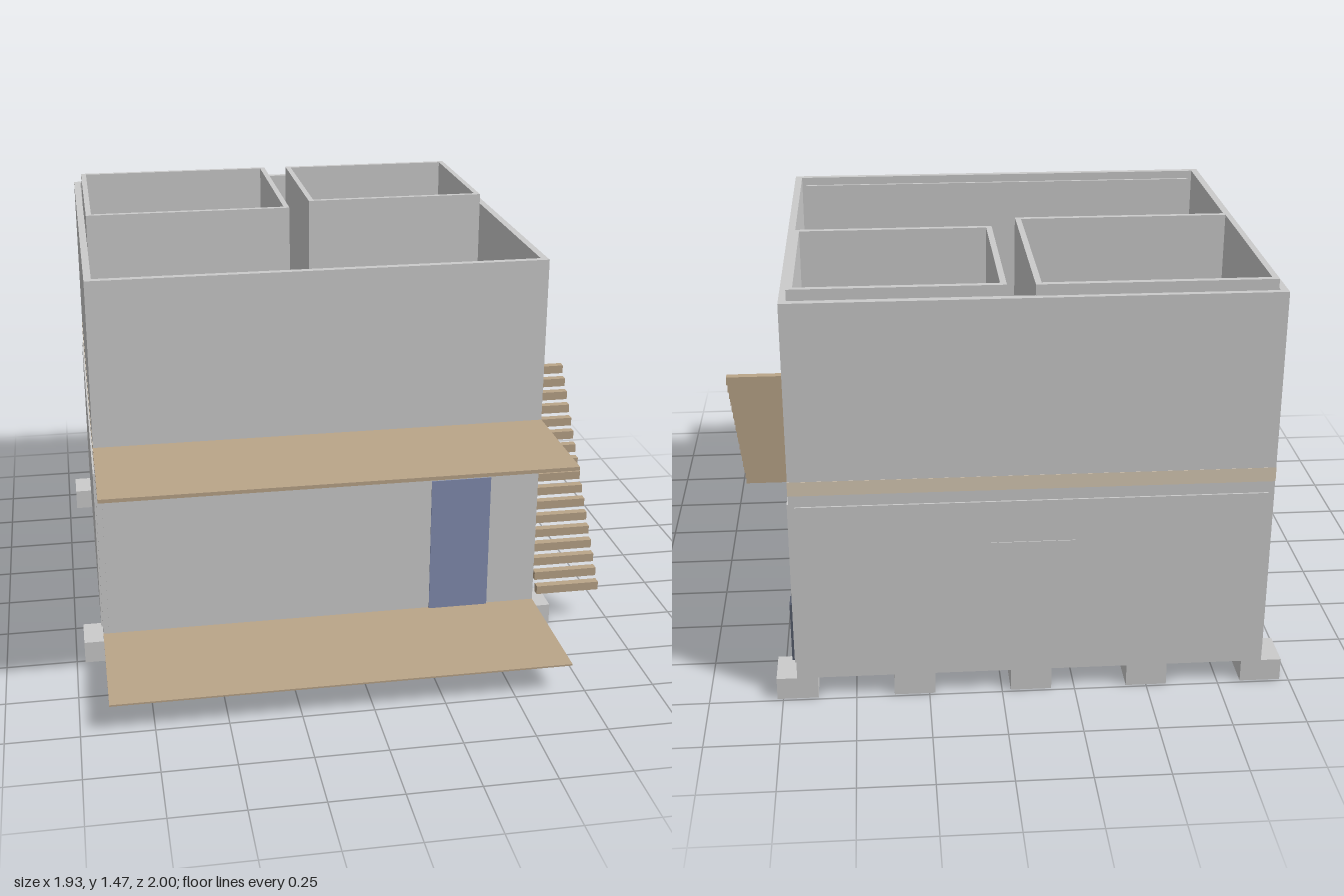
import * as THREE from 'three';

const material = (color) => new THREE.MeshStandardMaterial({ color });

export function createModel() {
  const house = new THREE.Group();
  house.name = 'house';
  const grey = material(0xcccccc);
  const wood = material(0xbaa589);
  const floorTone = material(0xd9cbb6);
  const blue = material(0x828db0);
  const darkBlue = material(0x565c6c);
  const midGrey = material(0xb2b2b2);

  // Axis-aligned box given by its limits
  const box = (name, mat, [x0, x1], [y0, y1], [z0, z1], parent = house) => {
    const mesh = new THREE.Mesh(new THREE.BoxGeometry(x1 - x0, y1 - y0, z1 - z0), mat);
    mesh.position.set((x0 + x1) / 2, (y0 + y1) / 2, (z0 + z1) / 2);
    mesh.name = name;
    parent.add(mesh);
    return mesh;
  };

  // Four walls open at top and bottom: a rectangle with a hole, extruded upwards
  const rectangle = (Type, x0, x1, z0, z1) => new Type([
    new THREE.Vector2(x0, -z0), new THREE.Vector2(x0, -z1),
    new THREE.Vector2(x1, -z1), new THREE.Vector2(x1, -z0),
  ]);
  const walls = (name, [x0, x1], [y0, y1], [z0, z1], t) => {
    const shape = rectangle(THREE.Shape, x0, x1, z0, z1);
    shape.holes.push(rectangle(THREE.Path, x0 + t, x1 - t, z0 + t, z1 - t));
    const geometry = new THREE.ExtrudeGeometry(shape, { depth: y1 - y0, bevelEnabled: false });
    geometry.rotateX(-Math.PI / 2);
    const mesh = new THREE.Mesh(geometry, grey);
    mesh.position.y = y0;
    mesh.name = name;
    house.add(mesh);
  };

  const X = [-0.9, 0.7];
  const Z = [-0.99, 0.51];

  // Footings in two rows of five
  const footings = new THREE.Group();
  footings.name = 'footings';
  house.add(footings);
  for (let i = 0; i < 5; i++) {
    const x = -0.9 + i * 0.4;
    for (const z of [[-0.99, -0.85], [0.37, 0.51]]) {
      box('footing', grey, [x - 0.07, x + 0.07], [0, 0.08], z, footings);
    }
  }

  // Floors and outer walls
  box('groundFloor', grey, X, [0.08, 0.11], Z);
  walls('lowerWalls', X, [0.11, 0.77], Z, 0.025);
  box('upperFloor', floorTone, [-0.901, 0.701], [0.77, 0.82], [-0.991, 0.511]);
  walls('upperWalls', X, [0.82, 1.43], Z, 0.025);

  // Cladding panels standing slightly proud of the lower walls
  box('frontPanel', grey, [-0.88, 0.68], [0.13, 0.73], [0.5, 0.516]);
  box('backPanel', grey, [-0.88, 0.68], [0.13, 0.73], [-0.996, -0.98]);
  box('rightPanel', grey, [-0.906, -0.89], [0.13, 0.73], [-0.97, 0.49]);
  box('leftPanel', grey, [0.69, 0.706], [0.13, 0.73], [-0.97, 0.49]);
  box('innerPanel', grey, [-0.86, 0.66], [0.84, 1.4], [0.475, 0.49]);

  // Two upstairs rooms
  walls('largeRoom', [-0.87, -0.1], [0.82, 1.467], [-0.97, -0.24], 0.02);
  walls('smallRoom', [-0.01, 0.675], [0.82, 1.467], [-0.965, -0.335], 0.02);

  // Flat panels on the upper floor between the rooms
  box('floorPanelBack', midGrey, [-0.22, 0.02], [0.815, 0.828], [-0.95, -0.55]);
  box('floorPanelFront', midGrey, [-0.22, 0.02], [0.815, 0.828], [-0.53, -0.27]);

  // Doors and windows
  box('frontDoor', blue, [0.3, 0.52], [0.11, 0.625], [0.5, 0.519]);
  box('sideHatch', darkBlue, [0.69, 0.714], [0.14, 0.355], [-0.97, -0.91]);
  box('backWindow', grey, [-0.24, 0.04], [0.33, 0.58], [-0.999, -0.98]);

  // Deck and balcony
  box('lowerDeck', wood, X, [0.105, 0.111], [0.51, 1]);
  box('balcony', wood, X, [0.822, 0.835], [0.51, 0.95]);

  // Open staircase along the side
  const stairs = new THREE.Group();
  stairs.name = 'stairs';
  house.add(stairs);
  for (let i = 0; i < 17; i++) {
    const y = 0.132 + i * 0.0424;
    const z = 0.472 - i * 0.0345;
    box('tread', wood, [0.725, 0.965], [y - 0.016, y + 0.016], [z - 0.015, z + 0.015], stairs);
  }
  return house;
}
